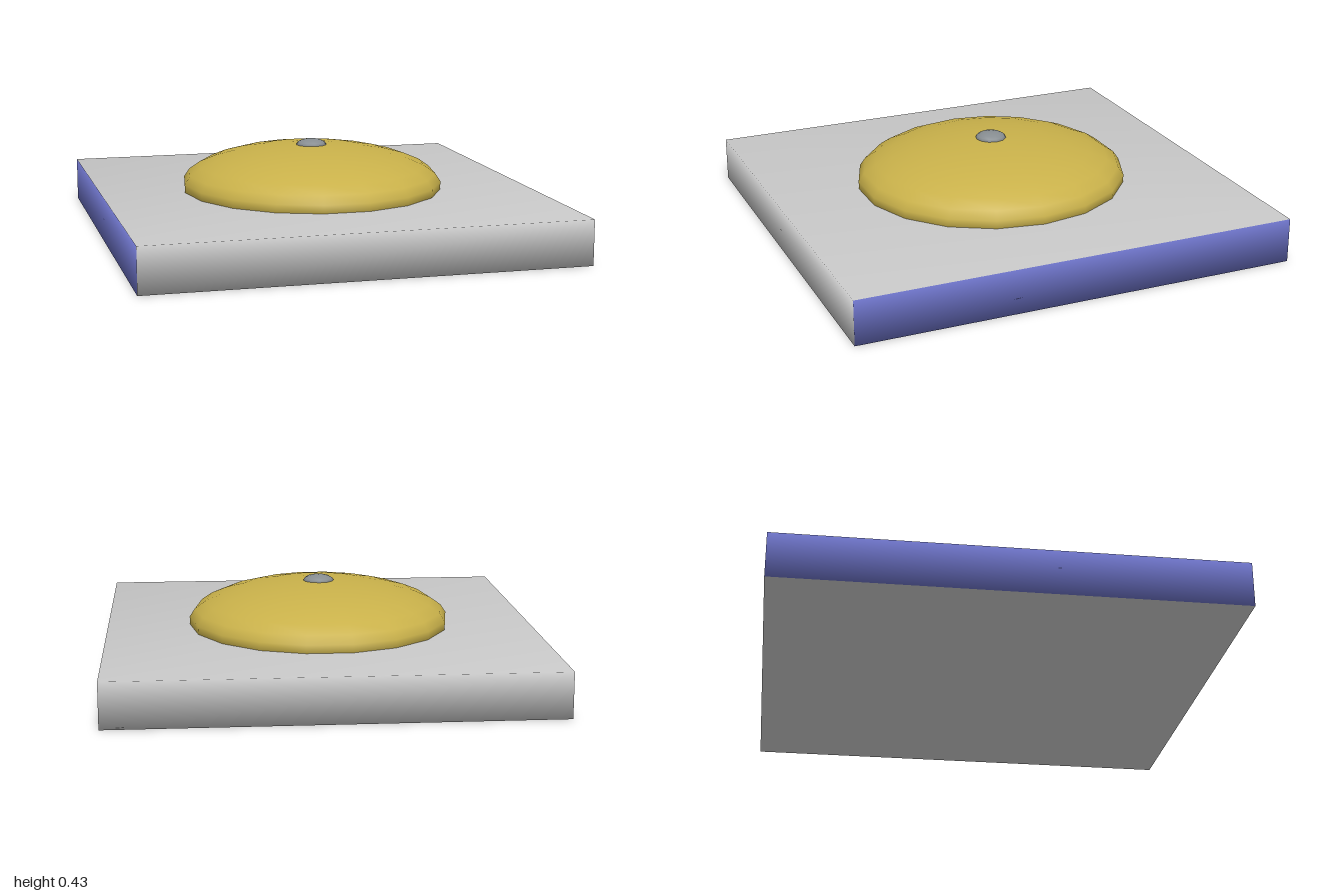
import * as THREE from 'three';
import { mergeVertices } from 'three/addons/utils/BufferGeometryUtils.js';

function paint(name, color) {
  const m = new THREE.MeshStandardMaterial({ color });
  m.name = name;
  return m;
}

// Flattened dome: part of a sphere scaled to an ellipsoid
function dome(name, material, sides, rings, sweep, radii, y) {
  const geometry = new THREE.SphereGeometry(1, sides, rings, 0, Math.PI * 2, 0, sweep);
  geometry.scale(...radii);
  const mesh = new THREE.Mesh(geometry, material);
  mesh.name = name;
  mesh.position.y = y;
  return mesh;
}

export function createModel() {
  const lightGrey = paint('light grey', 0xc8c8c8);
  const blue = paint('blue', 0x6c72c6);
  const gold = paint('gold', 0xc9b14a);
  const steel = paint('steel grey', 0x878d91);

  const model = new THREE.Group();
  model.name = 'domedPlate';

  // Slab with shared corners, so its shading rolls softly over the rim;
  // the two x sides are blue
  let slab = new THREE.BoxGeometry(1.93, 0.2, 2);
  slab.deleteAttribute('normal');
  slab.deleteAttribute('uv');
  slab = mergeVertices(slab);
  slab.computeVertexNormals();
  const base = new THREE.Mesh(slab, [blue, blue, lightGrey, lightGrey, lightGrey, lightGrey]);
  base.name = 'base';
  base.position.y = 0.1;
  model.add(base);

  // Wide cushion, curling in slightly where it meets the slab
  model.add(dome('dome', gold, 18, 8, 1.69, [0.595, 0.18, 0.62], 0.22));

  // Small button on top
  model.add(dome('button', steel, 12, 5, 1.9, [0.07, 0.028, 0.07], 0.397));

  return model;
}
